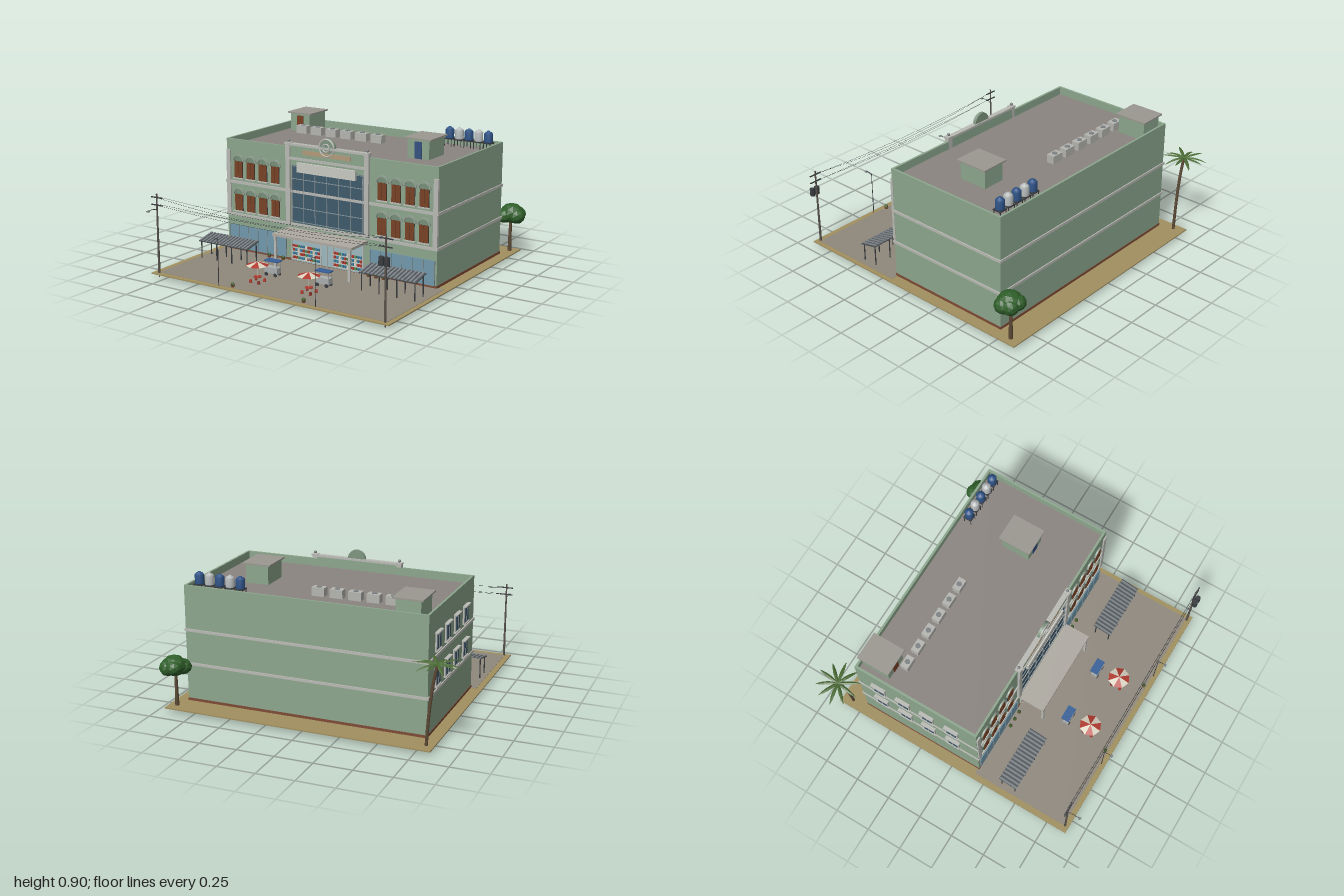
import * as THREE from 'three';

const C = { wall: 0x8ca68d, trim: 0xb9bab4, roof: 0x8a8480, brick: 0x7d4a35, glass: 0x3f5a6c, shop: 0x7099ad,
  wood: 0x7a4225, dark: 0x3a3d40, steel: 0x7d8285, blue: 0x2f5488, red: 0xb23a30, cream: 0xd8d2c0, leaf: 0x2f5f2a, trunk: 0x5d4a36 };
const G = 0.03;    // ground level
const CX = 0.05;   // middle of the facade
const F = 0.175;   // facade plane

const mats = {};
function mat(color, flat = false, side = THREE.FrontSide) {
  const key = `${color}_${flat}_${side}`;
  return (mats[key] ??= new THREE.MeshStandardMaterial({ color, flatShading: flat, side }));
}
function add(parent, name, geo, color, x = 0, y = 0, z = 0, flat = false, side) {
  const m = new THREE.Mesh(geo, mat(color, flat, side));
  m.name = name;
  m.position.set(x, y, z);
  parent.add(m);
  return m;
}
// Box given by its ranges on x, y and z
function box(parent, name, color, x0, x1, y0, y1, z0, z1) {
  return add(parent, name, new THREE.BoxGeometry(x1 - x0, y1 - y0, z1 - z0), color, (x0 + x1) / 2, (y0 + y1) / 2, (z0 + z1) / 2);
}
function cyl(parent, name, color, r0, r1, x, y0, y1, z, n = 8) {
  return add(parent, name, new THREE.CylinderGeometry(r1, r0, y1 - y0, n), color, x, (y0 + y1) / 2, z);
}
function tube(parent, name, color, pts, r, seg = 10, n = 5) {
  const curve = new THREE.CatmullRomCurve3(pts.map(p => new THREE.Vector3(...p)));
  return add(parent, name, new THREE.TubeGeometry(curve, seg, r, n), color);
}
function group(parent, name) {
  const g = new THREE.Group();
  g.name = name;
  parent.add(g);
  return g;
}

function buildShell(root) {
  const g = group(root, 'building');
  box(g, 'walls', C.wall, -0.77, 0.865, 0.019, 0.75, -0.725, F);
  box(g, 'roofDeck', C.roof, -0.765, 0.86, 0.745, 0.757, -0.72, F - 0.005);
  // Parapet, plinth and floor bands
  for (const [x0, x1, z0, z1] of [[-0.77, 0.865, F - 0.015, F], [-0.77, 0.865, -0.725, -0.71], [-0.77, -0.755, -0.71, F - 0.015], [0.85, 0.865, -0.71, F - 0.015]])
    box(g, 'parapet', C.wall, x0, x1, 0.75, 0.81, z0, z1);
  box(g, 'plinth', C.brick, -0.773, 0.868, G - 0.005, 0.047, -0.728, F + 0.003);
  for (const y of [0.285, 0.513]) box(g, 'floorBand', C.trim, -0.777, 0.872, y - 0.009, y + 0.009, -0.732, F + 0.01);
  // Side windows on the right-hand wall of the model
  for (const z of [-0.56, -0.375, -0.195, -0.01]) for (const y of [0.32, 0.55]) {
    box(g, 'sideWindowFrame', C.trim, -0.78, -0.765, y, y + 0.11, z - 0.045, z + 0.045);
    box(g, 'sideWindowGlass', C.glass, -0.783, -0.775, y + 0.01, y + 0.1, z - 0.035, z + 0.035);
    box(g, 'sideWindowMullion', C.trim, -0.785, -0.775, y + 0.01, y + 0.1, z - 0.002, z + 0.002);
    box(g, 'sideWindowHood', C.trim, -0.795, -0.765, y + 0.11, y + 0.118, z - 0.052, z + 0.052);
    box(g, 'sideWindowSill', C.trim, -0.788, -0.765, y - 0.007, y, z - 0.05, z + 0.05);
  }
}

function shutterWindow(g, x, y) {
  const h = 0.115;
  box(g, 'windowRecess', C.dark, x - 0.034, x + 0.034, y, y + h, F, F + 0.004);
  for (const s of [-1, 1]) {
    for (let i = 0; i < 4; i++) {
      const xm = x + s * 0.0165, y0 = y + 0.002 + i * 0.0285;
      box(g, 'shutterPanel', C.wood, xm - 0.0155, xm + 0.0155, y0, y0 + 0.0265, F, F + 0.008);
    }
  }
  add(g, 'windowTympanum', new THREE.CircleGeometry(0.038, 16, 0, Math.PI), 0x768f78, x, y + h, F + 0.003);
  const arch = new THREE.Shape().absarc(0, 0, 0.047, 0, Math.PI);
  arch.absarc(0, 0, 0.037, Math.PI, 0, true);
  add(g, 'windowArch', new THREE.ExtrudeGeometry(arch, { depth: 0.012, bevelEnabled: false, curveSegments: 12 }), 0x93a294, x, y + h, F);
  box(g, 'windowSill', C.trim, x - 0.042, x + 0.042, y - 0.008, y, F, F + 0.014);
}

function buildFacade(root) {
  const g = group(root, 'facade');
  for (const s of [-1, 1]) {
    const wing = group(g, s < 0 ? 'rightWing' : 'leftWing');
    for (let i = 0; i < 4; i++) for (const y of [0.315, 0.545]) shutterWindow(wing, CX + s * (0.415 + i * 0.1017), y);
    const a = CX + s * 0.33, b = CX + s * 0.8, lo = Math.min(a, b), hi = Math.max(a, b);
    box(wing, 'shopWindow', C.shop, lo, hi, 0.045, 0.21, F, F + 0.005);
    for (let i = 0; i <= 6; i++) {
      const x = lo + (hi - lo) * i / 6;
      box(wing, 'shopMullion', 0x7f959c, x - 0.003, x + 0.003, 0.045, 0.21, F, F + 0.009);
    }
    const p = CX + s * 0.802;
    box(wing, 'cornerPilaster', C.trim, p - 0.016, p + 0.016, 0.28, 0.735, F - 0.01, F + 0.01);
    const q = CX + s * 0.304;
    box(g, 'centrePilaster', C.trim, q - 0.017, q + 0.017, 0.28, 0.835, F - 0.015, F + 0.018);
    box(g, 'pilasterCap', C.trim, q - 0.021, q + 0.021, 0.828, 0.84, F - 0.018, F + 0.022);
    add(g, 'finial', new THREE.SphereGeometry(0.01, 10, 8), C.steel, q, 0.852, F);
  }
  // Raised centre parapet with plaque and round crest
  box(g, 'centreParapet', C.wall, CX - 0.29, CX + 0.29, 0.69, 0.825, F - 0.015, F + 0.008);
  box(g, 'centreCornice', C.trim, CX - 0.3, CX + 0.3, 0.823, 0.837, F - 0.018, F + 0.016);
  box(g, 'centreFrieze', C.trim, CX - 0.29, CX + 0.29, 0.728, 0.745, F, F + 0.015);
  box(g, 'plaque', 0xb09a7a, CX - 0.185, CX + 0.185, 0.77, 0.8, F, F + 0.014);
  const disc = add(g, 'crestDisc', new THREE.CylinderGeometry(0.062, 0.062, 0.022, 28), 0x7f9580, CX, 0.835, F);
  disc.rotation.x = Math.PI / 2;
  add(g, 'crestRim', new THREE.TorusGeometry(0.056, 0.007, 6, 28), C.trim, CX, 0.835, F + 0.01);
  add(g, 'crestRing', new THREE.TorusGeometry(0.026, 0.005, 6, 20), C.trim, CX, 0.835, F + 0.018);
  // Glazed centre bay
  box(g, 'curtainGlass', C.glass, CX - 0.277, CX + 0.277, 0.3, 0.69, F, F + 0.006);
  for (let i = 0; i <= 6; i++) {
    const x = CX - 0.274 + i * 0.0913;
    box(g, 'curtainMullion', 0x8a979c, x - 0.002, x + 0.002, 0.3, 0.69, F, F + 0.011);
  }
  for (const y of [0.31, 0.405, 0.6, 0.685]) box(g, 'curtainRail', 0x8a979c, CX - 0.277, CX + 0.277, y - 0.002, y + 0.002, F, F + 0.01);
  box(g, 'signBoard', 0xc9c9c2, CX - 0.225, CX + 0.225, 0.65, 0.715, F, F + 0.025);
  // Ground floor shop and its goods
  box(g, 'entranceGlass', 0x9db9c0, CX - 0.28, CX + 0.28, 0.035, 0.235, F, F + 0.005);
  for (const x of [-0.28, -0.05, 0, 0.05, 0.28]) box(g, 'entranceMullion', C.trim, CX + x - 0.003, CX + x + 0.003, 0.035, 0.235, F, F + 0.01);
  const goods = [C.red, 0xd9a441, C.cream, 0x3f7fa0, 0xc8662f, 0x4f8a55];
  for (const s of [-1, 1]) for (let r = 0; r < 4; r++) {
    const y = 0.052 + r * 0.027, xm = CX + s * 0.163;
    box(g, 'shelf', C.cream, xm - 0.11, xm + 0.11, y - 0.003, y, F, F + 0.016);
    for (let i = 0; i < 11; i++) {
      const x = xm - 0.1 + i * 0.02;
      box(g, 'goods', goods[(i * 5 + r * 2 + (i * i + r) % 3) % 6], x - 0.007, x + 0.007, y, y + 0.016, F, F + 0.014);
    }
  }
  // Entrance canopy
  box(g, 'canopySlab', 0xaeaaa2, CX - 0.31, CX + 0.31, 0.245, 0.262, F, 0.37);
  for (const s of [-1, 1]) {
    const x = CX + s * 0.288;
    box(g, 'canopyPost', C.trim, x - 0.008, x + 0.008, G, 0.245, 0.352, 0.368);
  }
}

function buildRoof(root) {
  const g = group(root, 'roofEquipment');
  for (const [x, z, door] of [[-0.632, -0.605, C.wood], [0.527, -0.27, 0x34507f]]) {
    box(g, 'stairHut', C.wall, x - 0.08, x + 0.08, 0.755, 0.885, z - 0.1, z + 0.1);
    box(g, 'stairHutRoof', 0x9a9890, x - 0.098, x + 0.098, 0.884, 0.894, z - 0.115, z + 0.115);
    box(g, 'stairHutDoor', door, x - 0.027, x + 0.027, 0.757, 0.87, z + 0.09, z + 0.104);
  }
  for (let i = 0; i < 6; i++) {
    const x = -0.57 + i * 0.124;
    box(g, 'coolingUnit', 0xb4b4b0, x - 0.043, x + 0.043, 0.76, 0.815, -0.482, -0.428);
    cyl(g, 'coolingFan', C.steel, 0.017, 0.017, x, 0.815, 0.819, -0.455, 14);
  }
  for (let i = 0; i < 5; i++) {
    const x = 0.5 + i * 0.0725, z = -0.655;
    const pts = [[0, 0.81], [0.028, 0.81], [0.03, 0.815], [0.03, 0.868], [0.022, 0.879], [0.01, 0.882], [0.01, 0.888], [0, 0.888]];
    add(g, 'waterTank', new THREE.LatheGeometry(pts.map(p => new THREE.Vector2(...p)), 14), i % 2 ? 0xb9bdbd : C.blue, x, 0, z);
    box(g, 'tankStand', C.dark, x - 0.03, x + 0.03, 0.803, 0.81, z - 0.03, z + 0.03);
    for (const a of [-1, 1]) for (const b of [-1, 1]) cyl(g, 'tankLeg', C.dark, 0.003, 0.003, x + a * 0.025, 0.755, 0.805, z + b * 0.025, 5);
  }
}

function buildForecourt(root) {
  const g = group(root, 'forecourt');
  // Ribbed awnings on posts
  for (const xm of [-0.587, 0.682]) {
    const a = group(g, 'awning');
    const top = group(a, 'awningRoof');
    top.position.set(xm, 0.166, 0.411);
    top.rotation.x = 0.21;
    box(top, 'awningSheet', 0x4c5257, -0.203, 0.203, -0.003, 0.003, -0.067, 0.067);
    for (let i = 0; i < 15; i++) box(top, 'awningRib', 0x7b8186, -0.2 + i * 0.0271, -0.186 + i * 0.0271, 0.002, 0.007, -0.067, 0.067);
    for (const x of [-0.19, -0.063, 0.063, 0.19]) for (const [z, y] of [[0.463, 0.155], [0.36, 0.176]]) cyl(a, 'awningPost', C.dark, 0.004, 0.004, xm + x, G, y, z, 6);
  }
  for (const x of [-0.15, 0.245]) {
    // Food cart
    const c = group(g, 'cart');
    box(c, 'cartBody', 0xa9adad, x - 0.05, x + 0.05, 0.05, 0.09, 0.492, 0.538);
    box(c, 'cartRoof', 0x365f98, x - 0.053, x + 0.053, 0.128, 0.134, 0.482, 0.54);
    for (const a of [-1, 1]) for (const b of [-1, 1]) {
      cyl(c, 'cartPost', C.steel, 0.002, 0.002, x + a * 0.046, 0.09, 0.13, 0.515 + b * 0.02, 5);
      cyl(c, 'cartWheel', C.dark, 0.013, 0.013, x + a * 0.035, 0.04, 0.046, 0.515 + b * 0.023, 12).rotation.x = Math.PI / 2;
    }
    // Striped parasol with table and stools
    const p = group(g, 'parasol');
    for (let i = 0; i < 8; i++)
      add(p, 'parasolPanel', new THREE.ConeGeometry(0.075, 0.025, 1, 1, true, i * Math.PI / 4, Math.PI / 4), i % 2 ? C.cream : C.red, x, 0.157, 0.68, true, THREE.DoubleSide);
    cyl(p, 'parasolPole', C.cream, 0.002, 0.002, x, G, 0.172, 0.68, 6);
    cyl(p, 'table', C.red, 0.026, 0.026, x, 0.066, 0.071, 0.68, 12);
    for (let i = 0; i < 4; i++) {
      const t = Math.PI * (0.25 + i / 2);
      cyl(p, 'stool', i % 2 ? C.red : 0x8a2f2a, 0.011, 0.008, x + 0.045 * Math.cos(t), G, 0.052, 0.68 + 0.045 * Math.sin(t), 8);
    }
  }
  // Potted plants
  for (const [x, z] of [[-0.405, 0.203], [-0.348, 0.203], [-0.29, 0.203], [0.385, 0.203], [0.44, 0.203], [0.497, 0.203], [-0.222, 0.845], [0.318, 0.845]]) {
    cyl(g, 'plantPot', 0x8a5238, 0.01, 0.014, x, G, 0.043, z, 8);
    add(g, 'plant', new THREE.IcosahedronGeometry(0.014, 0), 0x3d5a2c, x, 0.05, z, true);
  }
}

function buildStreet(root) {
  const g = group(root, 'streetPoles');
  const xs = [-0.805, 0.905], pz = 0.868;
  for (const x of xs) {
    cyl(g, 'utilityPole', 0x5a544c, 0.008, 0.005, x, G, 0.56, pz);
    cyl(g, 'poleFooting', 0x5a544c, 0.004, 0.004, x, 0, G, pz, 6);
    for (const y of [0.485, 0.535]) box(g, 'crossarm', C.dark, x - 0.045, x + 0.045, y - 0.003, y + 0.003, pz - 0.004, pz + 0.004);
  }
  for (const s of [-1, 1]) cyl(g, 'transformer', C.dark, 0.017, 0.017, xs[1] + s * 0.019, 0.378, 0.43, 0.888, 12);
  for (const [y, sag, z] of [[0.54, 0.03, 0.862], [0.535, 0.05, 0.872], [0.49, 0.015, 0.862], [0.485, 0.03, 0.872]])
    tube(g, 'powerLine', C.dark, [[xs[0], y, z], [-0.38, y - sag * 0.75, z], [CX, y - sag, z], [0.48, y - sag * 0.75, z], [xs[1], y, z]], 0.001, 24, 3);
  // Street lamps
  for (const [x, y, z] of [[-0.805, 0.465, 0.955], [-0.315, 0.345, 0.92], [0.418, 0.345, 0.92]]) {
    if (y < 0.4) cyl(g, 'lampPole', C.dark, 0.003, 0.002, x, G, y, pz, 6);
    tube(g, 'lampArm', C.dark, [[x, y - 0.01, pz], [x, y, (pz + z) / 2], [x, y - 0.002, z]], 0.002);
    box(g, 'lampHead', C.steel, x - 0.009, x + 0.009, y - 0.007, y, z - 0.007, z + 0.008);
  }
}

function buildTrees(root) {
  // Leaning palm
  const p = group(root, 'palm');
  tube(p, 'palmTrunk', C.trunk, [[-0.8, G, -0.825], [-0.812, 0.22, -0.825], [-0.835, 0.42, -0.825], [-0.862, 0.556, -0.828]], 0.01, 12, 7);
  for (let i = 0; i < 10; i++) {
    const geo = new THREE.PlaneGeometry(0.15, 0.024, 5, 2).rotateX(-Math.PI / 2).translate(0.075, 0, 0);
    const v = geo.attributes.position;
    for (let k = 0; k < v.count; k++) {
      const t = v.getX(k) / 0.15, w = v.getZ(k) * (0.25 + 1.9 * t) * (1.02 - t) * 1.6;
      v.setXYZ(k, v.getX(k), 0.045 * t - (i % 2 ? 0.07 : 0.04) * t * t - Math.abs(w) * 0.5, w);
    }
    geo.computeVertexNormals();
    add(p, 'palmFrond', geo, 0x4b6b35, -0.862, 0.556, -0.83, true, THREE.DoubleSide).rotation.y = i * Math.PI / 5 + 0.2;
  }
  // Broad tree
  const t = group(root, 'tree');
  cyl(t, 'treeTrunk', C.trunk, 0.014, 0.009, 0.892, G, 0.27, -0.83, 7);
  for (const [x, y, z, r, h] of [[0.9, 0.3, -0.83, 0.08, 0.07], [0.94, 0.287, -0.815, 0.06, 0.055], [0.863, 0.285, -0.79, 0.06, 0.052], [0.88, 0.3, -0.87, 0.056, 0.05], [0.93, 0.29, -0.86, 0.056, 0.055]])
    add(t, 'treeFoliage', new THREE.IcosahedronGeometry(1, 1), C.leaf, x, y, z, true).scale.set(r, h, r);
}

export function createModel() {
  const root = new THREE.Group();
  root.name = 'shoppingBuilding';
  box(root, 'ground', 0xa08f5f, -0.85, 0.945, 0.022, G, -0.9, 0.895);
  box(root, 'paving', 0x8f887c, -0.81, 0.915, 0.0215, G + 0.002, 0.165, 0.86);
  buildShell(root);
  buildFacade(root);
  buildRoof(root);
  buildForecourt(root);
  buildStreet(root);
  buildTrees(root);
  return root;
}
